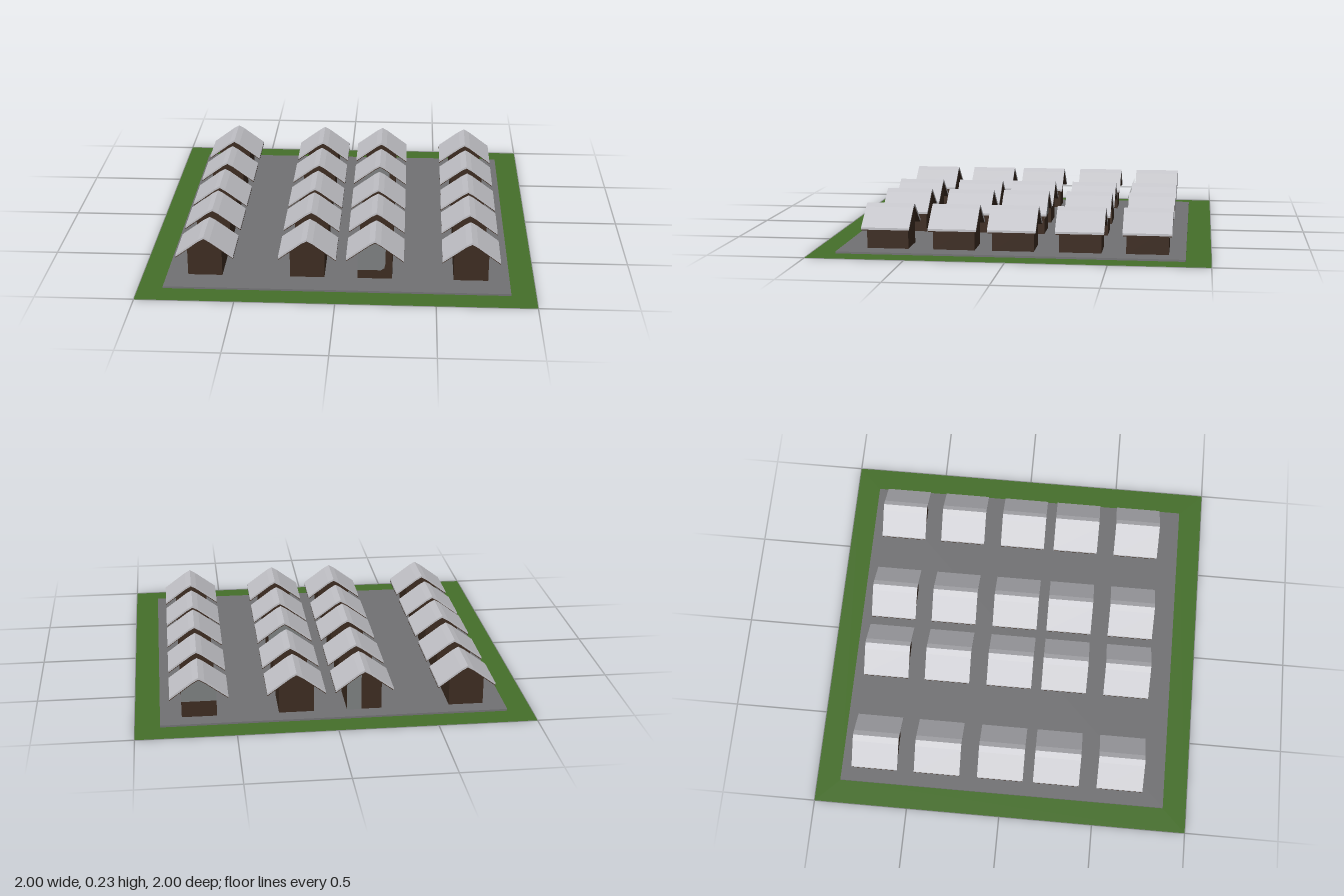
import * as THREE from 'three';

const mat = (name, color) => {
  const m = new THREE.MeshStandardMaterial({ color, side: THREE.DoubleSide });
  m.name = name;
  return m;
};

// Closed outline from points
const outline = pts => new THREE.Shape(pts.map(([x, y]) => new THREE.Vector2(x, y)));

// Extrusion centred along z
function extrudeZ(pts, depth) {
  const g = new THREE.ExtrudeGeometry(outline(pts), { depth, bevelEnabled: false });
  return g.translate(0, 0, -depth / 2);
}

// Bent sheet following the roof line: dTop and dBottom are drops below the outer line
function roofSheet(dTop, dBottom, length) {
  const line = [[-0.147, 0.126], [-0.03, 0.213], [0, 0.23], [0.03, 0.213], [0.147, 0.126]];
  const top = line.map(([x, y]) => [x, y - dTop]);
  const bottom = line.map(([x, y]) => [x, y - dBottom]).reverse();
  return extrudeZ([...top, ...bottom], length);
}

export function createModel() {
  const model = new THREE.Group();
  const grass = mat('grass green', 0x456f2a);
  const paving = mat('paving grey', 0x727274);
  const wood = mat('dark wood', 0x3d2c21);
  const roofing = mat('roof light grey', 0xc2c2c7);
  const patch = mat('patch grey', 0x7c7f80);

  const add = (parent, name, geo, material, x = 0, y = 0, z = 0) => {
    const m = new THREE.Mesh(geo, material);
    m.name = name;
    m.position.set(x, y, z);
    parent.add(m);
    return m;
  };

  // Grass border around the paved yard
  const border = outline([[-1, -1], [1, -1], [1, 1], [-1, 1]]);
  const e = 0.875;
  border.holes.push(new THREE.Path([[-e, -e], [-e, e], [e, e], [e, -e]].map(p => new THREE.Vector2(...p))));
  add(model, 'grassBorder', new THREE.ShapeGeometry(border).rotateX(-Math.PI / 2), grass);
  add(model, 'pavedYard', new THREE.BoxGeometry(1.75, 0.01, 1.75), paving, 0, 0.005, 0);

  // Shared hut parts
  const body = extrudeZ([[-0.088, 0.008], [0.088, 0.008], [0.088, 0.153], [0, 0.212], [-0.088, 0.153]], 0.212);
  const roof = roofSheet(0, 0.011, 0.245);
  const eaves = roofSheet(0.011, 0.016, 0.24);

  // Rows of huts with gabled roofs
  const columns = [-0.678, -0.155, 0.19, 0.678];
  const rows = [-0.685, -0.35, -0.01, 0.29, 0.63];
  const huts = columns.map(x => rows.map(z => {
    const hut = new THREE.Group();
    hut.name = 'hut';
    hut.position.set(x, 0, z);
    add(hut, 'walls', body, wood);
    add(hut, 'roof', roof, roofing);
    add(hut, 'eaves', eaves, wood);
    model.add(hut);
    return hut;
  }));

  // Grey patches on some gable walls
  const frontPatch = extrudeZ([[-0.088, 0.058], [0.03, 0.058], [0.048, 0.07], [0.054, 0.1],
    [0.054, 0.174], [0, 0.21], [-0.088, 0.152]], 0.004);
  const halfPatch = extrudeZ([[0.088, 0.01], [0.015, 0.01], [0.015, 0.2], [0.088, 0.152]], 0.004);
  const gablePatch = extrudeZ([[-0.088, 0.095], [0.088, 0.095], [0.088, 0.152], [0, 0.21], [-0.088, 0.152]], 0.004);
  const end = 0.107;
  add(huts[2][4], 'frontPatch', frontPatch, patch, 0, 0, end);
  add(huts[2][1], 'frontPatch', frontPatch, patch, 0, 0, end);
  add(huts[1][0], 'backPatch', halfPatch, patch, 0, 0, -end);
  add(huts[3][0], 'backPatch', gablePatch, patch, 0, 0, -end);
  add(huts[2][2], 'backPatch', gablePatch, patch, 0, 0, -end);
  add(huts[1][1], 'sidePatch', new THREE.BoxGeometry(0.004, 0.1, 0.18), patch, -0.089, 0.09, 0);

  return model;
}
